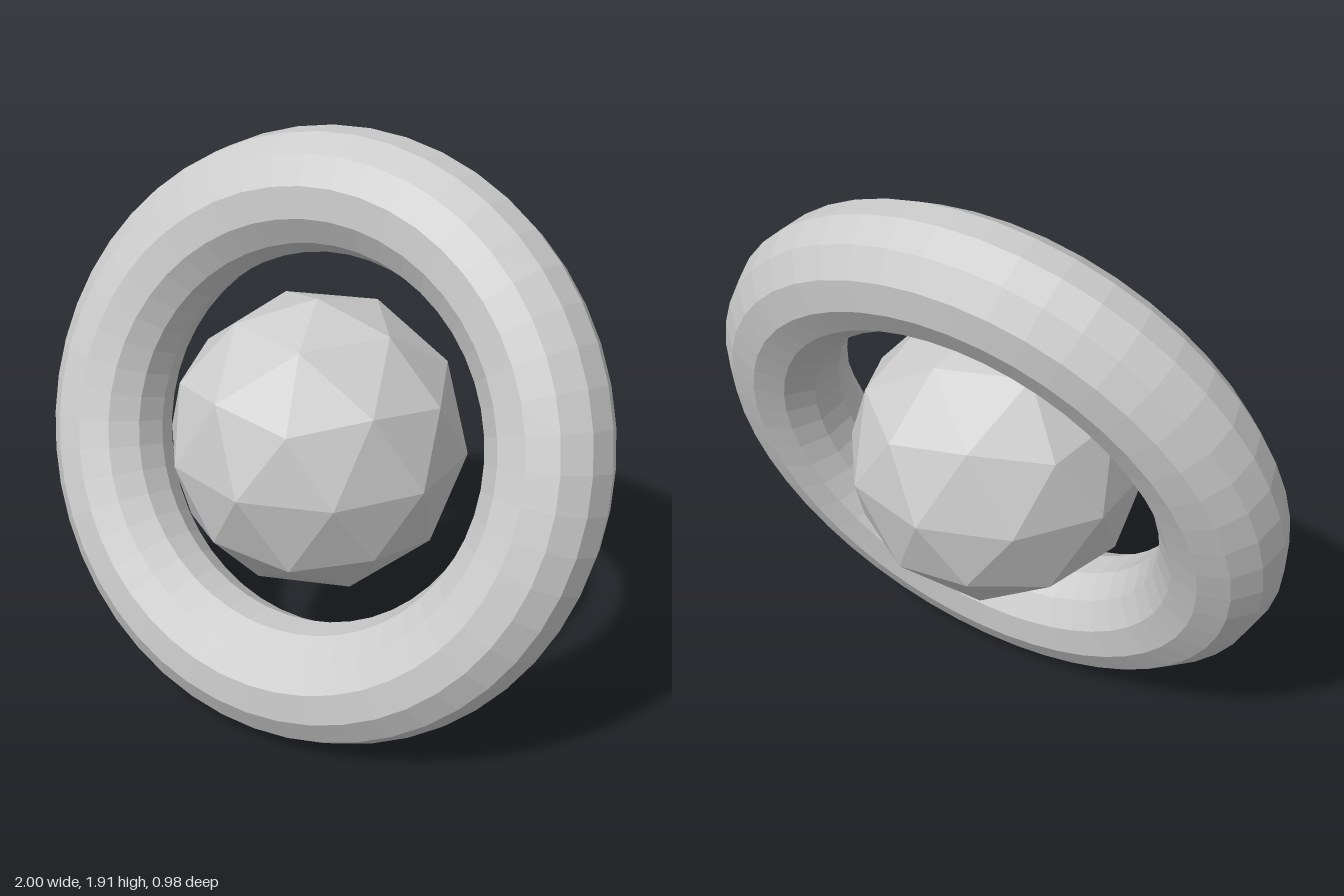
import * as THREE from 'three';

const CENTER_Y = 0.952;
const TILT = 0.33;

export function createModel() {
  const model = new THREE.Group();
  model.name = 'ringedPlanet';
  const material = new THREE.MeshStandardMaterial({ color: 0xcccccc, flatShading: true });

  // Faceted ball, turned so that a five-sided corner points straight up
  const ballGeometry = new THREE.IcosahedronGeometry(0.488, 1);
  ballGeometry.rotateZ(-Math.atan(2 / (1 + Math.sqrt(5))));
  const ball = new THREE.Mesh(ballGeometry, material);
  ball.name = 'ball';
  ball.position.y = CENTER_Y;

  // Thick ring around the ball, its top leaning backwards
  const ring = new THREE.Mesh(new THREE.TorusGeometry(0.8, 0.2, 12, 48), material);
  ring.name = 'ring';
  ring.position.y = CENTER_Y;
  ring.rotation.x = -TILT;

  model.add(ball, ring);
  return model;
}
